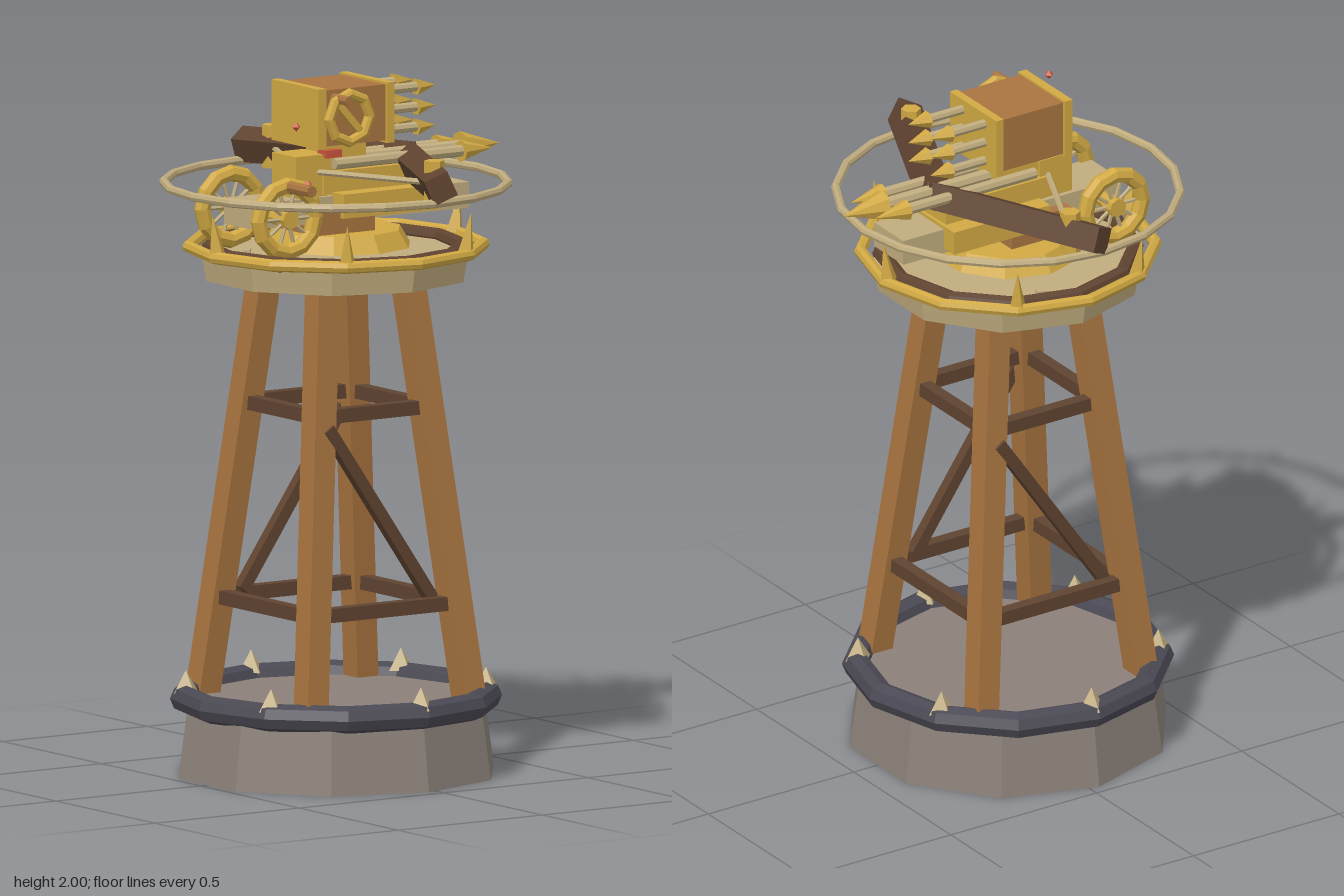
import * as THREE from 'three';

const V = (x, y, z) => new THREE.Vector3(x, y, z);
const mat = (color) => new THREE.MeshStandardMaterial({ color, flatShading: true });
const STONE = mat(0x8a8078), IRON = mat(0x4a4852), WOOD = mat(0xa8743f), DARK = mat(0x5f4330);
const GOLD = mat(0xd0a843), BEIGE = mat(0xbfab7d), RED = mat(0xc8553a);
const UP = V(0, 1, 0);
const CX = -0.03; // axis of the tower

export function createModel() {
  const root = new THREE.Group();

  const add = (name, geo, material, x = 0, y = 0, z = 0, parent = root) => {
    const m = new THREE.Mesh(geo, material);
    m.name = name;
    m.position.set(x, y, z);
    parent.add(m);
    return m;
  };
  // box given by its minimum and maximum corners
  const box = (name, material, x0, x1, y0, y1, z0, z1) =>
    add(name, new THREE.BoxGeometry(x1 - x0, y1 - y0, z1 - z0), material,
      (x0 + x1) / 2, (y0 + y1) / 2, (z0 + z1) / 2);
  // stretches a unit-axis geometry between two points
  const span = (name, material, a, b, makeGeo, parent = root) => {
    const d = b.clone().sub(a);
    const m = add(name, makeGeo(d.length()), material, 0, 0, 0, parent);
    m.position.copy(a).add(b).multiplyScalar(0.5);
    m.quaternion.setFromUnitVectors(UP, d.normalize());
    return m;
  };
  const rod = (name, material, a, b, r0, r1 = r0, sides = 8, parent = root) =>
    span(name, material, a, b, (l) => new THREE.CylinderGeometry(r1, r0, l, sides), parent);
  const beam = (name, material, a, b, w, d = w) =>
    span(name, material, a, b, (l) => new THREE.BoxGeometry(w, l, d));
  const flatRing = (name, material, R, r, y, seg) =>
    add(name, new THREE.TorusGeometry(R, r, 8, seg).rotateX(Math.PI / 2), material, CX, y, 0);

  // stone base with iron rim and studs
  add('base', new THREE.CylinderGeometry(0.44, 0.47, 0.22, 10), STONE, CX, 0.11, 0);
  flatRing('baseRim', IRON, 0.436, 0.04, 0.217, 12);
  for (let i = 0; i < 6; i++) {
    const a = Math.PI / 6 + (i * Math.PI) / 3;
    add('baseStud', new THREE.ConeGeometry(0.042, 0.065, 4), BEIGE,
      CX + 0.43 * Math.cos(a), 0.267, 0.43 * Math.sin(a));
  }

  // splayed legs and their bracing
  const off = (y) => 0.27 - 0.1042 * (y - 0.257);
  for (const sx of [-1, 1]) for (const sz of [-1, 1]) {
    const end = (y) => V(CX + sx * off(y), y, sz * off(y));
    beam('leg', WOOD, end(0.2), end(1.45), 0.072);
  }
  for (const y of [0.5, 1.065]) for (const s of [-1, 1]) {
    const o = off(y), h = o - 0.02;
    box('crossBeam', DARK, CX - h, CX + h, y - 0.02, y + 0.02, s * o - 0.018, s * o + 0.018);
    box('crossBeam', DARK, CX + s * o - 0.018, CX + s * o + 0.018, y - 0.02, y + 0.02, -h, h);
  }
  for (const s of [-1, 1])
    beam('diagonalBrace', DARK, V(CX - s * 0.18, 1.035, s * 0.217), V(CX + s * 0.18, 0.515, s * 0.217), 0.035, 0.032);

  // platform with rings, spikes and loose planks
  add('platform', new THREE.CylinderGeometry(0.4, 0.386, 0.075, 10), BEIGE, CX, 1.4725, 0);
  flatRing('platformTrim', DARK, 0.365, 0.024, 1.515, 12);
  flatRing('platformRing', GOLD, 0.423, 0.018, 1.523, 12);
  flatRing('outerRing', BEIGE, 0.493, 0.013, 1.705, 20);
  for (let i = 0; i < 6; i++) {
    const c = Math.cos((i * Math.PI) / 3), s = Math.sin((i * Math.PI) / 3);
    rod('platformSpike', GOLD, V(CX + 0.41 * c, 1.525, 0.41 * s), V(CX + 0.428 * c, 1.645, 0.428 * s), 0.028, 0, 4);
  }
  for (const [x, z, r] of [[0.04, -0.284, -0.5], [0.253, -0.163, -1], [-0.146, 0.258, 1.3], [-0.27, -0.1, 0.9]])
    add('plank', new THREE.BoxGeometry(0.042, 0.012, 0.02), BEIGE, x, 1.513, z).rotation.y = r;

  // turntable and carriage
  add('turntable', new THREE.CylinderGeometry(0.19, 0.22, 0.05, 10), GOLD, CX, 1.55, 0);
  box('carriage', WOOD, -0.175, 0.03, 1.57, 1.655, -0.11, 0.11);
  box('stock', BEIGE, -0.367, 0.38, 1.605, 1.68, -0.075, 0.075);
  box('stockHousing', GOLD, -0.09, 0.24, 1.62, 1.69, -0.127, 0.127);
  box('arrowBed', GOLD, -0.12, 0.23, 1.685, 1.75, -0.07, 0.07);
  box('trigger', GOLD, -0.21, -0.1, 1.68, 1.8, -0.06, 0.06);
  box('launcherPost', GOLD, -0.1, 0.04, 1.74, 1.83, -0.05, 0.05);
  box('latch', RED, -0.115, -0.06, 1.79, 1.812, 0.03, 0.075);

  // spoked wheels on an axle
  rod('axle', GOLD, V(-0.298, 1.64, -0.16), V(-0.298, 1.64, 0.16), 0.023);
  for (const s of [-1, 1]) {
    const wheel = new THREE.Group();
    wheel.name = 'wheel';
    wheel.position.set(-0.298, 1.64, s * 0.143);
    root.add(wheel);
    add('wheelRim', new THREE.TorusGeometry(0.097, 0.024, 8, 12), GOLD, 0, 0, 0, wheel);
    add('wheelHub', new THREE.CylinderGeometry(0.028, 0.028, 0.045, 8).rotateX(Math.PI / 2), GOLD, 0, 0, 0, wheel);
    for (let i = 0; i < 10; i++) {
      const a = (i * Math.PI) / 5;
      rod('spoke', BEIGE, V(0, 0, 0), V(0.09 * Math.cos(a), 0.09 * Math.sin(a), 0), 0.006, 0.006, 5, wheel);
    }
  }
  rod('wheelHandle', WOOD, V(-0.298, 1.735, 0.15), V(-0.298, 1.735, 0.27), 0.017);

  // swept bow limbs, bolts and string
  for (const s of [-1, 1]) {
    beam('bowLimb', DARK, V(0.225, 1.75, -s * 0.015), V(-0.015, 1.75, s * 0.51), 0.073, 0.076);
    add('bowBolt', new THREE.CylinderGeometry(0.029, 0.029, 0.125, 6), GOLD, 0.03, 1.7525, s * 0.41);
    rod('bowString', BEIGE, V(-0.155, 1.75, 0), V(0.03, 1.75, s * 0.41), 0.009, 0.009, 6);
  }

  // pointed shafts: three on the bow, six in the launcher
  const dart = (name, y, z, x0, x1, x2, r, headR, sides) => {
    rod(name + 'Shaft', BEIGE, V(x0, y, z), V(x1, y, z), r);
    rod(name + 'Head', GOLD, V(x1, y, z), V(x2, y, z), headR, 0, sides);
  };
  dart('mainBolt', 1.77, 0, -0.1, 0.4, 0.535, 0.02, 0.045, 8);
  for (const s of [-1, 1]) {
    dart('sideBolt', 1.77, s * 0.063, -0.08, 0.36, 0.468, 0.017, 0.031, 8);
    for (const y of [1.852, 1.91, 1.968])
      dart('rocket', y, s * 0.057, 0.05, 0.207, 0.275, 0.014, 0.026, 6);
  }

  // launcher box with end plates
  box('launcherBox', WOOD, -0.15, 0.07, 1.832, 1.994, -0.112, 0.112);
  box('launcherBackPlate', GOLD, -0.172, -0.145, 1.825, 2, -0.12, 0.12);
  box('launcherFrontPlate', GOLD, 0.065, 0.09, 1.825, 2, -0.12, 0.12);

  // crank wheel on the launcher's side
  add('crankRim', new THREE.TorusGeometry(0.07, 0.016, 8, 8), GOLD, -0.078, 1.913, 0.138);
  beam('crankBar', GOLD, V(-0.125, 1.965, 0.135), V(-0.03, 1.86, 0.135), 0.02, 0.018);
  rod('crankHandle', WOOD, V(-0.113, 1.97, 0.11), V(-0.113, 1.97, 0.188), 0.014);

  // drifting sparks
  add('spark', new THREE.OctahedronGeometry(0.014), RED, -0.307, 1.915, 0.204);
  add('spark', new THREE.OctahedronGeometry(0.014), RED, -0.255, 1.742, 0.186);

  return root;
}
